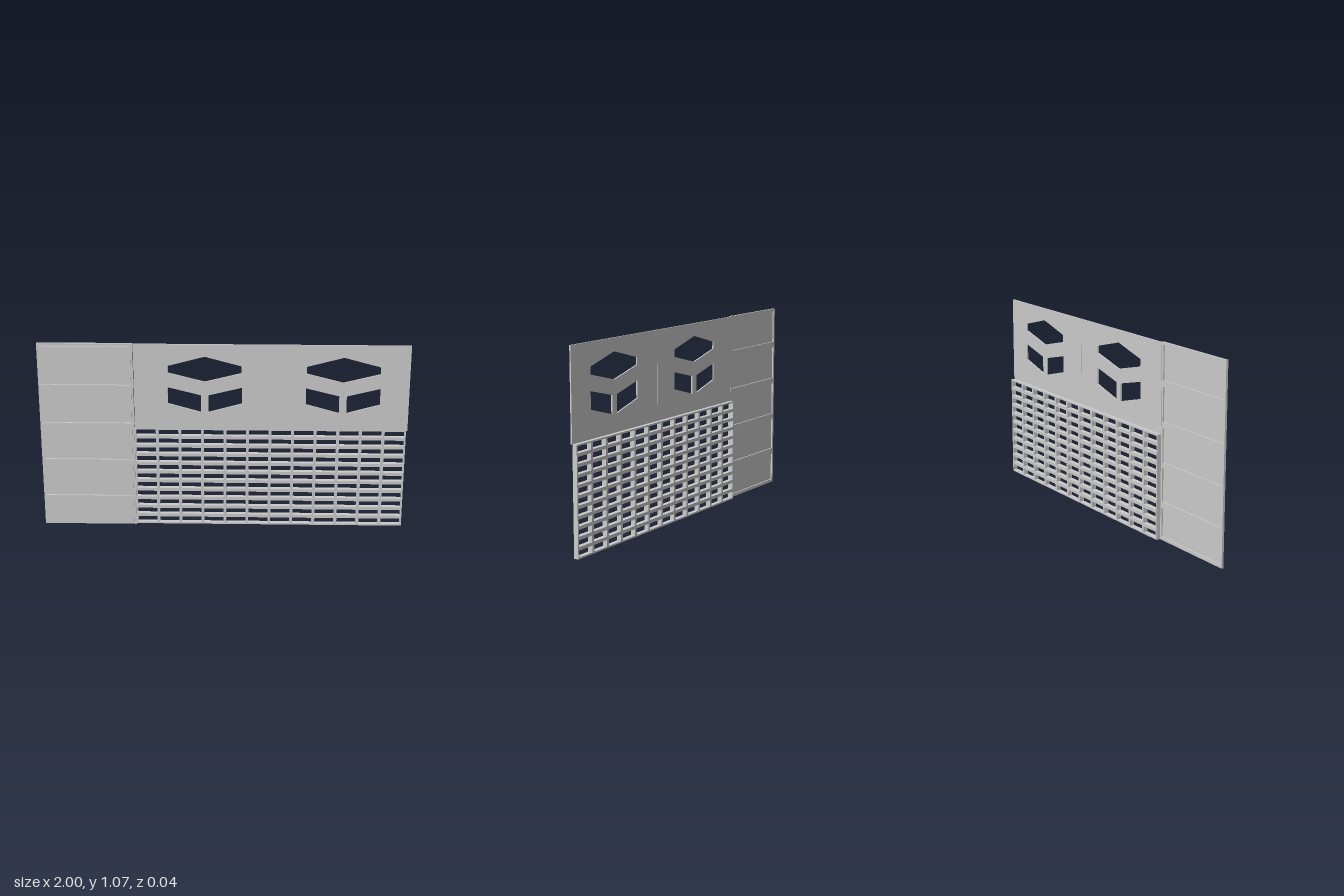
import * as THREE from 'three';

const material = new THREE.MeshStandardMaterial({ color: 0xcccccc });

const poly = (points, Type = THREE.Path) => new Type(points.map(([x, y]) => new THREE.Vector2(x, y)));
const rect = (x0, x1, y0, y1, Type) => poly([[x0, y0], [x1, y0], [x1, y1], [x0, y1]], Type);

// flat plate with cut-outs, between two depths
function plate(name, outline, holes, z0, z1) {
  outline.holes = holes;
  const geometry = new THREE.ExtrudeGeometry(outline, { depth: z1 - z0, bevelEnabled: false });
  geometry.translate(0, 0, z0);
  const mesh = new THREE.Mesh(geometry, material);
  mesh.name = name;
  return mesh;
}

// sectional door: frame with raised panels, hollow behind
function makeDoor() {
  const door = new THREE.Group();
  door.name = 'panelledDoor';
  const rows = [[0.017, 0.178], [0.212, 0.397], [0.427, 0.612], [0.645, 0.832], [0.865, 1.05]];
  const x0 = -0.987, x1 = -0.499;
  const holes = rows.map(([a, b]) => rect(x0, x1, a, b));
  door.add(plate('doorFrame', rect(-1, -0.487, 0, 1.065, THREE.Shape), holes, 0.002, 0.014));
  rows.forEach(([a, b]) => door.add(plate('raisedPanel', rect(x0, x1, a, b, THREE.Shape), [], 0.01, 0.022)));
  return door;
}

// upper wall panel with one hexagonal and two slanted windows
function makeWallPanel(x0, x1, cx) {
  const hexagon = poly([[-0.198, 0.94], [0, 0.993], [0.198, 0.94], [0.198, 0.9], [0, 0.85], [-0.198, 0.9]]
    .map(([x, y]) => [cx + x, y]));
  const slanted = [-1, 1].map(side => poly([[0.2, 0.818], [0.02, 0.773], [0.02, 0.675], [0.2, 0.725]]
    .map(([x, y]) => [cx + side * x, y])));
  return plate('wallPanel', rect(x0, x1, 0.577, 1.062, THREE.Shape), [hexagon, ...slanted], 0.001, 0.009);
}

// deep lattice below the wall panels
function makeGrille() {
  const x0 = -0.487, x1 = 0.992, top = 0.577, columns = 12, rows = 11;
  const w = (x1 - x0) / columns, h = top / rows, holes = [];
  for (let i = 0; i < columns; i++) {
    for (let j = 0; j < rows; j++) {
      holes.push(rect(x0 + i * w + 0.008, x0 + (i + 1) * w - 0.008, j * h + 0.009, (j + 1) * h - 0.009));
    }
  }
  return plate('grille', rect(x0, x1, 0, top, THREE.Shape), holes, -0.022, 0.004);
}

export function createModel() {
  const model = new THREE.Group();
  model.name = 'facade';
  model.add(makeDoor(), makeGrille());
  model.add(makeWallPanel(-0.485, 0.255, -0.102), makeWallPanel(0.261, 0.998, 0.643));
  // narrow strip covering the joint between wall panels
  model.add(plate('jointStrip', rect(0.254, 0.262, 0.577, 1.062, THREE.Shape), [], 0, 0.011));
  return model;
}
